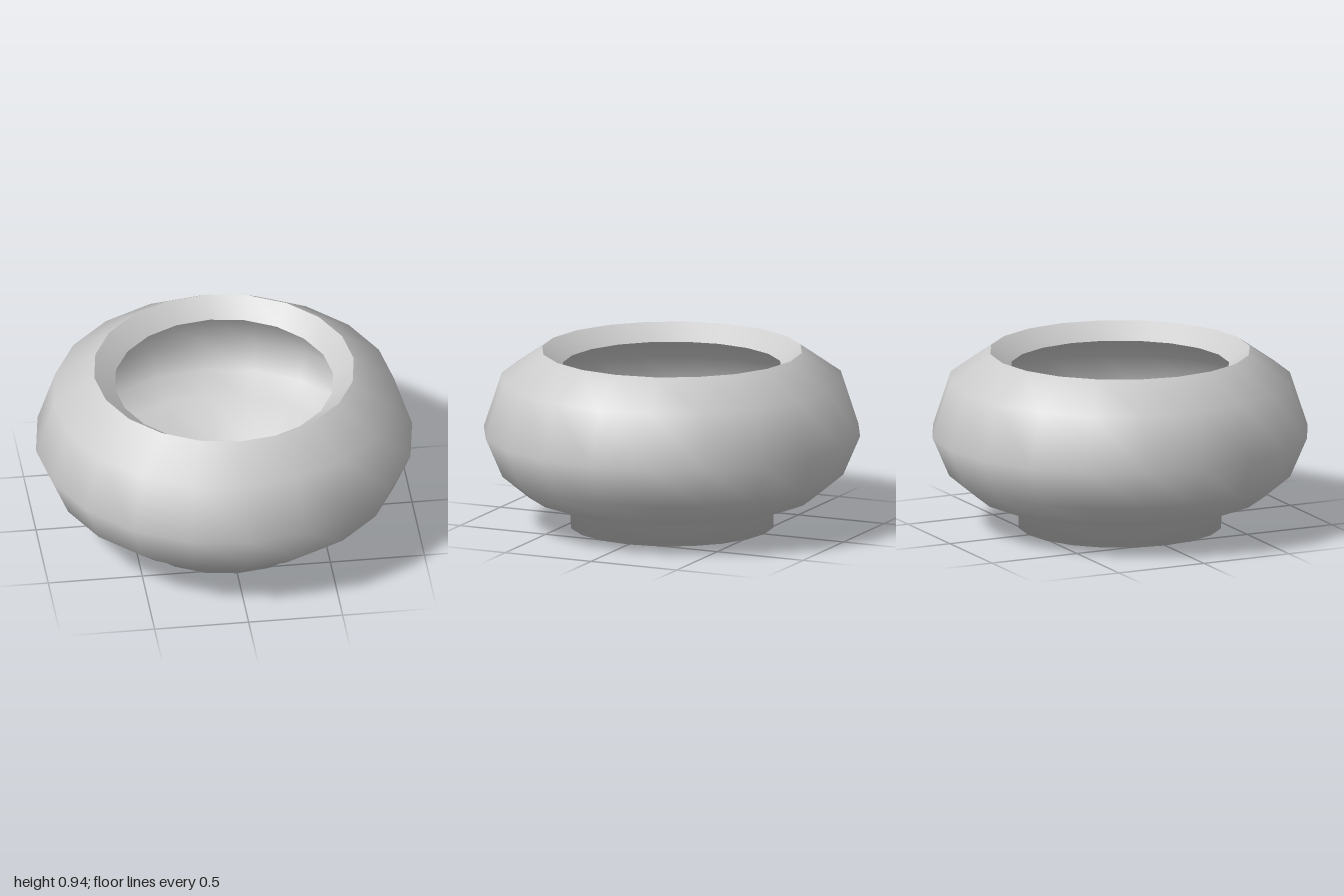
import * as THREE from 'three';
import { mergeVertices } from 'three/addons/utils/BufferGeometryUtils.js';

const SIDES = 20;

// Turn a profile of [radius, height] points into a smooth surface without a seam.
function turned(name, profile, material) {
  const points = profile.map(([r, y]) => new THREE.Vector2(r, y));
  let geometry = new THREE.LatheGeometry(points, SIDES);
  geometry.deleteAttribute('uv');
  geometry.deleteAttribute('normal');
  geometry = mergeVertices(geometry, 1e-4);
  geometry.computeVertexNormals();
  const mesh = new THREE.Mesh(geometry, material);
  mesh.name = name;
  return mesh;
}

export function createModel() {
  const group = new THREE.Group();
  group.name = 'bowl';
  const material = new THREE.MeshStandardMaterial({ color: 0xcccccc });

  // Closed foot and rounded belly, from the base up to the rim
  const outer = [
    [0, 0], [0.54, 0], [0.54, 0.105], [0.765, 0.175],
    [0.91, 0.295], [1, 0.505], [0.905, 0.795], [0.69, 0.945],
  ];
  // Hollow inside the wall, from the lip down into the foot
  const inner = [
    [0.58, 0.86], [0.82, 0.725], [0.895, 0.51], [0.835, 0.365],
    [0.72, 0.27], [0.45, 0.19], [0.45, 0.1], [0, 0.1],
  ];

  group.add(
    turned('outerBowl', outer, material),
    // Sloping rim between the outer and inner wall
    turned('rim', [outer[outer.length - 1], inner[0]], material),
    turned('innerBowl', inner, material),
  );
  return group;
}
